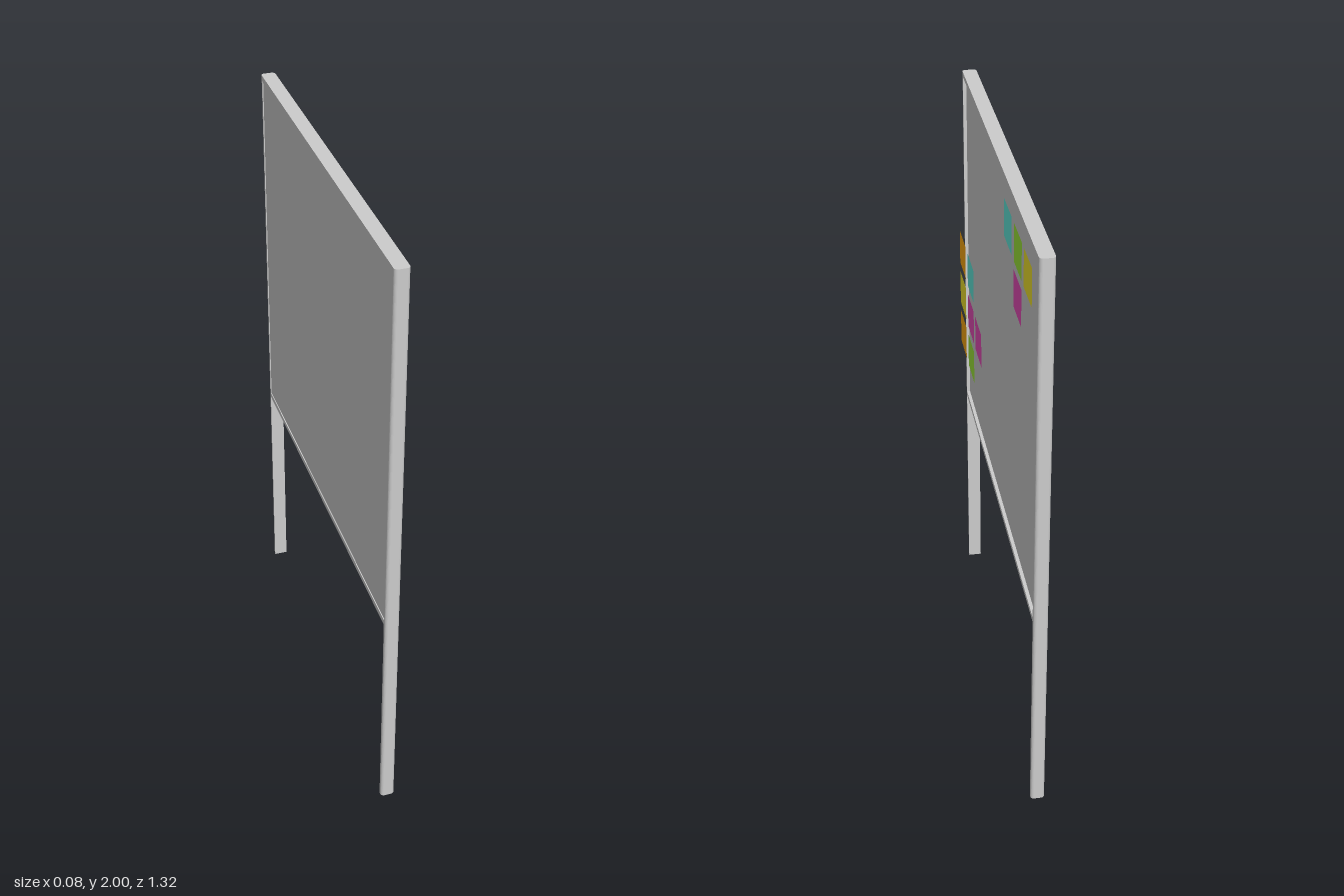
import * as THREE from 'three';

const BACK = -0.038, FRONT = 0.008;   // frame depth along x
const HALF = 0.66, RAIL = 0.017;      // half width along z, profile width
const BOTTOM = 0.752, TOP = 2;

const material = (color, side = THREE.FrontSide) => new THREE.MeshStandardMaterial({ color, side });

function box(name, x0, x1, y0, y1, z0, z1, mat) {
  const mesh = new THREE.Mesh(new THREE.BoxGeometry(x1 - x0, y1 - y0, z1 - z0), mat);
  mesh.position.set((x0 + x1) / 2, (y0 + y1) / 2, (z0 + z1) / 2);
  mesh.name = name;
  return mesh;
}

// Full-height upright whose two outer edges are rounded
function upright(name, side, mat) {
  const r = 0.011;
  const s = new THREE.Shape();
  s.moveTo(BACK, 0);
  s.lineTo(FRONT, 0);
  s.lineTo(FRONT, RAIL - r);
  s.absarc(FRONT - r, RAIL - r, r, 0, Math.PI / 2, false);
  s.lineTo(BACK + r, RAIL);
  s.absarc(BACK + r, RAIL - r, r, Math.PI / 2, Math.PI, false);
  s.closePath();
  const geo = new THREE.ExtrudeGeometry(s, { depth: TOP, bevelEnabled: false, curveSegments: 6 });
  geo.rotateX(-Math.PI / 2);          // outer side now faces -z
  if (side > 0) {
    geo.rotateY(Math.PI);             // turn to face +z, keeping the depth range
    geo.translate(BACK + FRONT, 0, 0);
  }
  geo.translate(0, 0, side * (HALF - RAIL));
  const mesh = new THREE.Mesh(geo, mat);
  mesh.name = name;
  return mesh;
}

export function createModel() {
  const model = new THREE.Group();
  model.name = 'pinboard';
  const grey = material(0xcccccc);
  const inner = HALF - RAIL;

  // Frame
  model.add(upright('frontUpright', 1, grey), upright('rearUpright', -1, grey));
  model.add(box('topRail', BACK, FRONT, TOP - RAIL, TOP, -inner, inner, grey));
  model.add(box('bottomRail', BACK, FRONT, BOTTOM, BOTTOM + RAIL, -inner, inner, grey));

  // Board, set back inside the frame
  model.add(box('board', BACK + 0.003, -0.003, BOTTOM + RAIL, TOP - RAIL, -inner, inner, grey));

  // Sticky notes: [colour, z, y]
  const colors = { orange: 0xffab12, yellow: 0xf5e530, teal: 0x65ebdf, green: 0xa0e93d, pink: 0xe94fba };
  const notes = new THREE.Group();
  notes.name = 'notes';
  const noteGeo = new THREE.PlaneGeometry(0.122, 0.122).rotateY(Math.PI / 2);
  const addNotes = (x, list) => {
    for (const [color, z, y] of list) {
      const note = new THREE.Mesh(noteGeo, material(colors[color], THREE.DoubleSide));
      note.position.set(x, y, z);
      note.name = color + 'Note';
      notes.add(note);
    }
  };
  // Upper cluster lies on the board
  addNotes(0, [
    ['teal', -0.148, 1.838], ['green', -0.31, 1.838], ['yellow', -0.463, 1.838],
    ['pink', -0.31, 1.688],
  ]);
  // Lower cluster stands off the board
  addNotes(0.038, [
    ['orange', 0.498, 1.413], ['teal', 0.331, 1.413],
    ['yellow', 0.498, 1.257], ['pink', 0.331, 1.257], ['pink', 0.178, 1.257],
    ['orange', 0.498, 1.102], ['green', 0.331, 1.102],
  ]);
  model.add(notes);
  return model;
}
